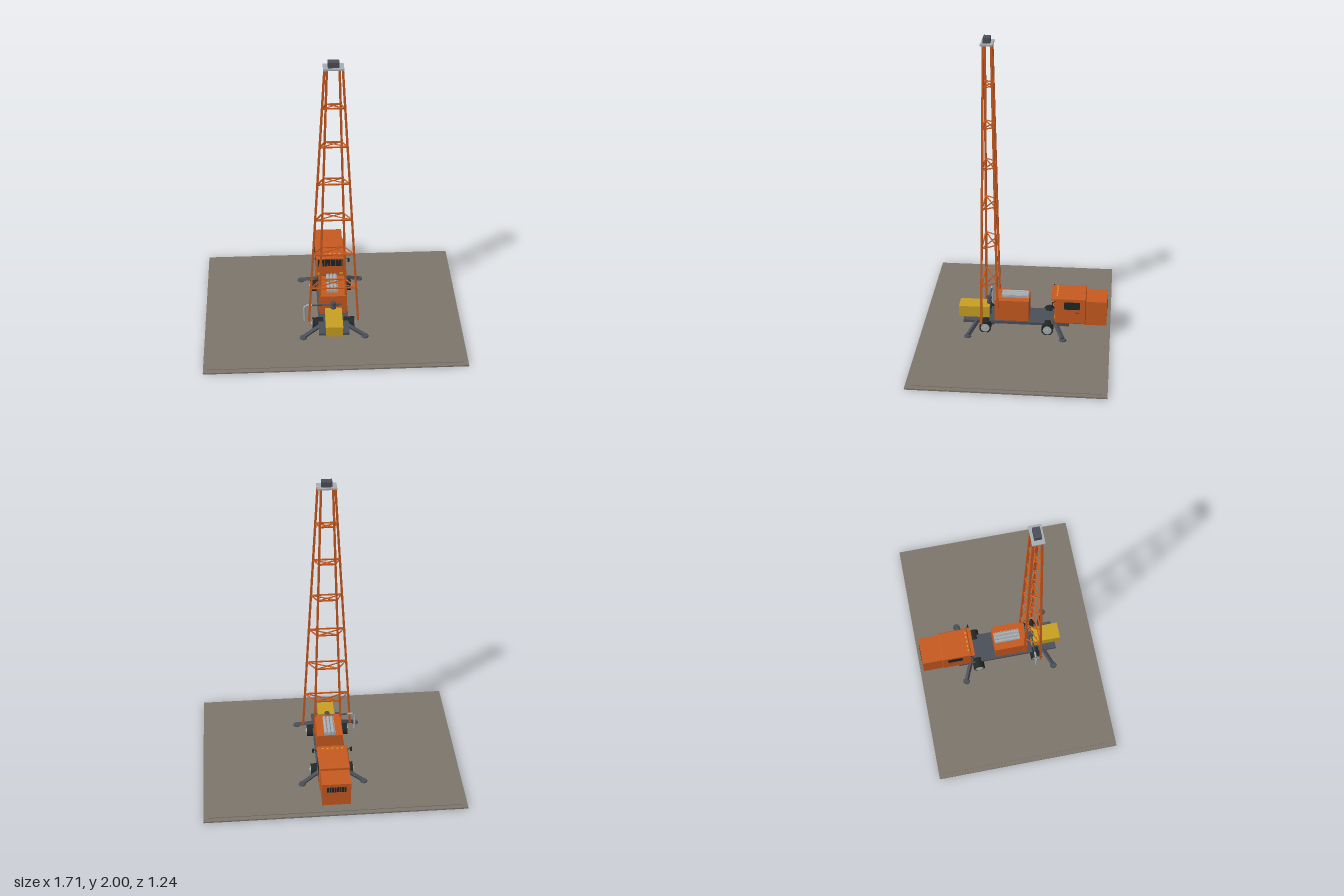
import * as THREE from 'three';
import { RoundedBoxGeometry } from 'three/addons/geometries/RoundedBoxGeometry.js';

const mat = (name, color) => {
  const m = new THREE.MeshStandardMaterial({ color });
  m.name = name;
  return m;
};

export function createModel() {
  const root = new THREE.Group();
  root.name = 'mobileDrillRig';
  const orange = mat('orange paint', 0xc85a20);
  const yellow = mat('yellow paint', 0xc8a022);
  const steel = mat('dark steel', 0x4b4f59);
  const grey = mat('light grey metal', 0xa9aeb2);
  const rubber = mat('black rubber', 0x222826);
  const glass = mat('dark glass', 0x1c2628);
  const ground = mat('gravel pad', 0x7d766c);
  const amber = mat('amber lamp', 0xe0a020);

  const add = (name, geo, m, parent = root) => {
    const mesh = new THREE.Mesh(geo, m);
    mesh.name = name;
    parent.add(mesh);
    return mesh;
  };
  // Box given by its limits on each axis
  const box = (name, m, x0, x1, y0, y1, z0, z1, parent) => {
    const b = add(name, new THREE.BoxGeometry(x1 - x0, y1 - y0, z1 - z0), m, parent);
    b.position.set((x0 + x1) / 2, (y0 + y1) / 2, (z0 + z1) / 2);
    return b;
  };
  // Square or round bar running between two points
  const UP = new THREE.Vector3(0, 1, 0);
  const bar = (name, m, a, b, t, round = false, parent = root) => {
    const p = new THREE.Vector3(...a), q = new THREE.Vector3(...b);
    const d = q.clone().sub(p), len = d.length();
    const geo = round ? new THREE.CylinderGeometry(t / 2, t / 2, len, 10) : new THREE.BoxGeometry(t, len, t);
    const s = add(name, geo, m, parent);
    s.position.copy(p).add(q).multiplyScalar(0.5);
    s.quaternion.setFromUnitVectors(UP, d.normalize());
    return s;
  };
  const group = (name) => {
    const g = new THREE.Group();
    g.name = name;
    root.add(g);
    return g;
  };

  // Ground pad in two layers
  box('padBase', ground, -0.855, 0.855, 0.003, 0.013, -0.622, 0.622);
  box('padTop', ground, -0.825, 0.825, 0.013, 0.017, -0.592, 0.592);

  // Chassis
  box('chassisDeck', steel, -0.1, 0.1, 0.065, 0.083, -0.35, 0.347);
  for (const s of [-1, 1]) box('chassisRail', steel, s * 0.045 - 0.01, s * 0.045 + 0.01, 0.045, 0.065, -0.34, 0.33);

  // Wheels and axles
  for (const z of [0.2, -0.21]) {
    bar('axle', steel, [-0.1, 0.05, z], [0.1, 0.05, z], 0.018, true);
    for (const s of [-1, 1]) {
      const w = group('wheel');
      w.position.set(s * 0.104, 0.051, z);
      w.rotation.z = -s * Math.PI / 2;
      add('tyre', new THREE.CylinderGeometry(0.039, 0.039, 0.072, 24), rubber, w);
      add('rim', new THREE.CylinderGeometry(0.029, 0.029, 0.005, 20), grey, w).position.y = 0.036;
      add('hub', new THREE.CylinderGeometry(0.009, 0.011, 0.008, 12), grey, w).position.y = 0.04;
    }
  }

  // Outriggers with octagonal feet
  for (const s of [-1, 1]) for (const e of [-1, 1]) {
    const g = group('outrigger');
    const z = e > 0 ? 0.308 : -0.316;
    bar('outriggerArm', steel, [s * 0.09, 0.075, z - e * 0.053], [s * 0.198, 0.027, z - e * 0.003], 0.022, false, g);
    bar('outriggerRam', steel, [s * 0.115, 0.052, z - e * 0.04], [s * 0.2, 0.03, z], 0.012, true, g);
    add('outriggerFoot', new THREE.CylinderGeometry(0.022, 0.03, 0.026, 8), steel, g).position.set(s * 0.204, 0.013, z);
  }

  // Driver's cab and rear sleeper body
  const cab = group('cab');
  add('cabShell', new RoundedBoxGeometry(0.2, 0.187, 0.207, 2, 0.008), orange, cab).position.set(0, 0.1765, -0.3575);
  box('rearBody', orange, -0.093, 0.093, 0.078, 0.249, -0.597, -0.45, cab);
  box('cabVisor', orange, -0.103, 0.103, 0.255, 0.262, -0.268, -0.23, cab);
  box('bumper', steel, -0.095, 0.095, 0.083, 0.1, -0.256, -0.242, cab);
  box('windscreen', glass, -0.085, 0.085, 0.182, 0.24, -0.256, -0.252, cab);
  box('rearVent', glass, -0.062, 0.062, 0.185, 0.225, -0.599, -0.595, cab);
  for (let i = -4; i <= 4; i++) {
    box('windscreenBar', orange, i * 0.019 - 0.0015, i * 0.019 + 0.0015, 0.182, 0.24, -0.256, -0.25, cab);
    if (Math.abs(i) < 4) box('rearVentSlat', orange, i * 0.016 - 0.0015, i * 0.016 + 0.0015, 0.185, 0.225, -0.601, -0.597, cab);
  }
  for (let i = -2; i <= 2; i++)
    box('roofLamp', amber, i * 0.032 - 0.006, i * 0.032 + 0.006, 0.268, 0.276, -0.275, -0.265, cab);
  for (const s of [-1, 1]) {
    box('sideWindow', glass, s * 0.1 - 0.002, s * 0.1 + 0.002, 0.19, 0.243, -0.42, -0.318, cab);
    box('doorHandle', steel, s * 0.102 - 0.003, s * 0.102 + 0.003, 0.165, 0.17, -0.415, -0.39, cab);
    box('headlamp', amber, s * 0.075 - 0.012, s * 0.075 + 0.012, 0.11, 0.128, -0.257, -0.252, cab);
    bar('mirrorArm', rubber, [s * 0.095, 0.245, -0.262], [s * 0.125, 0.25, -0.242], 0.005, true, cab);
    box('mirror', rubber, s * 0.125 - 0.006, s * 0.125 + 0.006, 0.222, 0.252, -0.246, -0.238, cab);
  }

  // Engine housing with a ribbed cooler on top
  box('engineHousing', orange, -0.087, 0.087, 0.083, 0.228, -0.084, 0.143);
  box('coolerBase', grey, -0.037, 0.037, 0.228, 0.243, -0.077, 0.1);
  for (const x of [-0.024, 0, 0.024])
    bar('coolerRib', grey, [x, 0.243, -0.075], [x, 0.243, 0.098], 0.02, true);

  // Yellow tool box over the front end
  box('toolBox', yellow, -0.055, 0.055, 0.083, 0.158, 0.18, 0.382);
  box('toolBoxLid', yellow, -0.056, 0.056, 0.15, 0.16, 0.179, 0.383);

  // Wellhead under the deck and drill stem above it
  const wz = 0.185;
  for (const [r, y0, y1] of [[0.042, 0.017, 0.027], [0.028, 0.027, 0.04], [0.04, 0.04, 0.05], [0.026, 0.05, 0.066], [0.012, 0.083, 0.215], [0.018, 0.165, 0.18], [0.018, 0.2, 0.212]])
    add('wellheadStack', new THREE.CylinderGeometry(r, r, y1 - y0, 16), steel).position.set(0, (y0 + y1) / 2, wz);

  // Side discharge pipe with a hanging hose
  bar('dischargePipe', steel, [-0.185, 0.192, wz], [0.055, 0.192, wz], 0.011, true);
  const hose = new THREE.CatmullRomCurve3([[-0.14, 0.192], [-0.175, 0.192], [-0.19, 0.18], [-0.192, 0.13], [-0.19, 0.065]]
    .map(([x, y]) => new THREE.Vector3(x, y, wz)));
  add('dischargeHose', new THREE.TubeGeometry(hose, 20, 0.007, 8), grey);

  // Tapered lattice mast: a wide front pair of legs and a narrow rear pair
  const mast = group('mast');
  const y0 = 0.09, y1 = 1.957;
  const corner = (s, front, y) => {
    const t = (y - y0) / (y1 - y0), mix = THREE.MathUtils.lerp;
    return front ? [s * mix(0.163, 0.054, t), y, mix(0.223, 0.204, t)]
      : [s * mix(0.09, 0.037, t), y, mix(0.122, 0.156, t)];
  };
  for (const s of [-1, 1]) for (const f of [true, false])
    bar('mastLeg', orange, corner(s, f, y0), corner(s, f, y1), 0.014, false, mast);
  for (let i = 0; i < 6; i++) {
    const y = 0.357 + i * 0.2676;
    const c = [corner(-1, true, y), corner(1, true, y), corner(1, false, y), corner(-1, false, y)];
    for (let k = 0; k < 4; k++) bar('mastRung', orange, c[k], c[(k + 1) % 4], 0.008, false, mast);
    bar('mastDiagonal', orange, c[0], c[2], 0.006, false, mast);
    bar('mastDiagonal', orange, c[1], c[3], 0.006, false, mast);
  }

  // Crown plate and block at the mast head
  box('crownPlate', grey, -0.062, 0.062, 1.955, 1.966, 0.145, 0.222, mast);
  box('crownBlock', steel, -0.034, 0.034, 1.966, 2.0, 0.162, 0.207, mast);
  return root;
}
